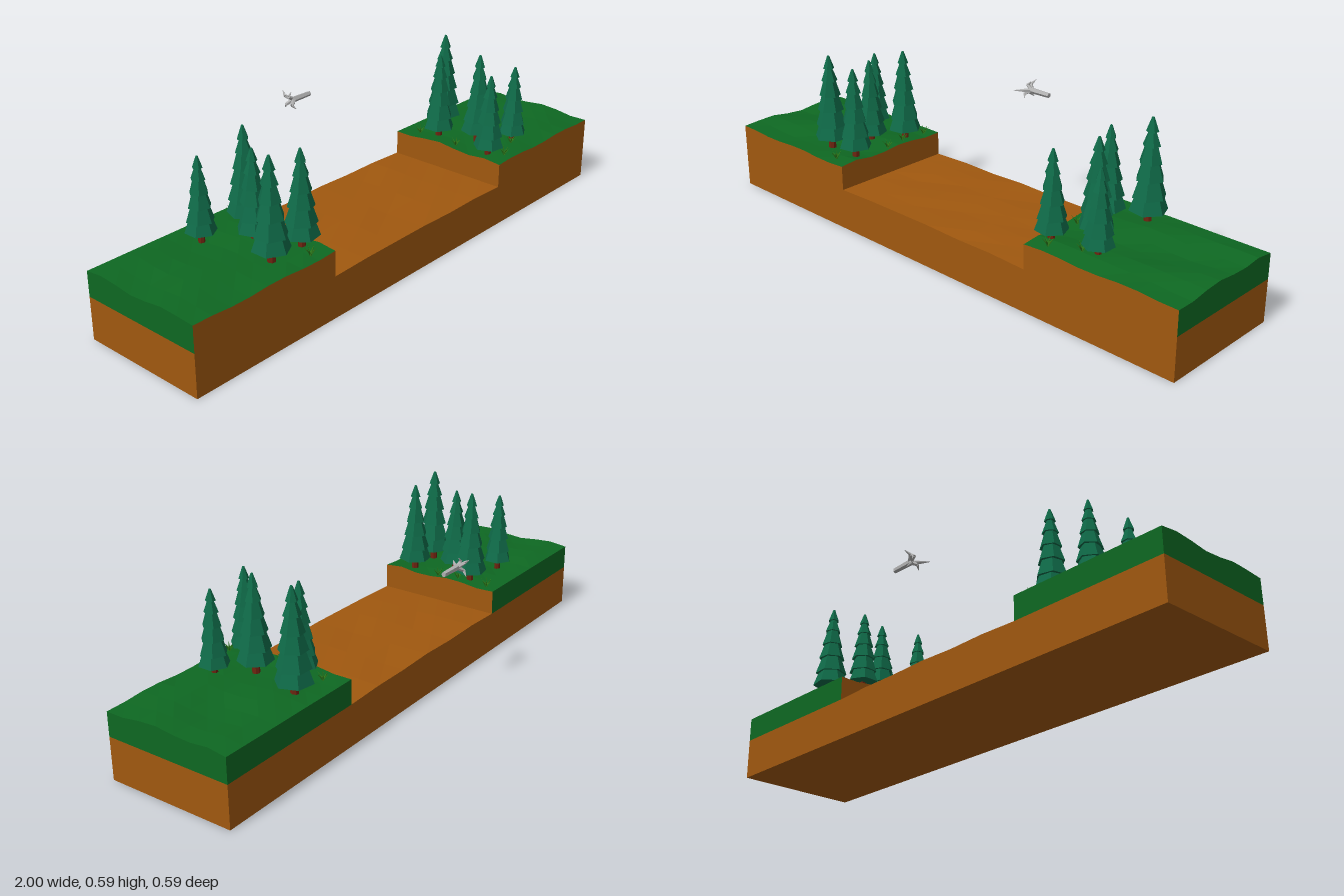
import * as THREE from 'three';
import { mergeGeometries } from 'three/addons/utils/BufferGeometryUtils.js';

const makeMat = (name, color, side = THREE.FrontSide) => {
  const m = new THREE.MeshStandardMaterial({ color, side });
  m.name = name;
  return m;
};

// Faceted normals, keeping material groups
function facet(geo) {
  const g = geo.index ? geo.toNonIndexed() : geo;
  g.computeVertexNormals();
  return g;
}

function addMesh(parent, name, geo, mat) {
  const mesh = new THREE.Mesh(geo, mat);
  mesh.name = name;
  parent.add(mesh);
  return mesh;
}

// Block whose upper face follows a height rule
function block(x0, x1, y0, z0, z1, nx, nz, height) {
  const g = new THREE.BoxGeometry(x1 - x0, 1, z1 - z0, nx, 1, nz);
  g.translate((x0 + x1) / 2, 0.5, (z0 + z1) / 2);
  const p = g.attributes.position;
  for (let i = 0; i < p.count; i++) {
    p.setY(i, p.getY(i) > 0.5 ? height(p.getX(i), p.getZ(i)) : y0);
  }
  return facet(g);
}

const BACK = -0.17, FRONT = 0.295, BED = 0.148, EDGE = 0.4286;
const bedHeight = (x, z) => Math.abs(x) < EDGE - 0.01
  ? 0.153 + 0.003 * Math.sin(x * 17 + z * 9) * Math.cos(z * 21 - x * 5) : BED;
const grassHeight = (x, z) => {
  const inner = Math.min(1, (FRONT - z) / 0.06, (z - BACK) / 0.06);
  return 0.235 + 0.004 * Math.sin(x * 21) * Math.cos(z * 9)
    + inner * (0.004 + 0.006 * Math.sin(z * 24 + x * 7 - 1.9));
};

// Conifer of stacked skirts: [lower edge, upper end, lower radius, upper radius]
const TIERS = [
  [0.00, 0.25, 0.063, 0.036], [0.15, 0.41, 0.056, 0.030], [0.34, 0.58, 0.047, 0.024],
  [0.52, 0.74, 0.038, 0.018], [0.70, 0.87, 0.029, 0.010], [0.85, 1.00, 0.020, 0.004],
];

function makeTree(x, z, top, turn, mats) {
  const tree = new THREE.Group();
  tree.name = 'tree';
  const ground = 0.232, size = (top - ground) / 0.35;
  const base = ground + 0.045 * size, tall = top - base;
  const skirts = TIERS.map(([a, b, r, t], i) => {
    const g = new THREE.CylinderGeometry(t * size, r * size, (b - a) * tall, 6);
    g.rotateY(i * 0.12);
    g.translate(0, base + (a + b) / 2 * tall, 0);
    return g;
  });
  addMesh(tree, 'foliage', facet(mergeGeometries(skirts)), mats.needles);
  const trunk = new THREE.CylinderGeometry(0.011 * size, 0.014 * size, 0.08, 7);
  trunk.translate(0, ground + 0.035, 0);
  addMesh(tree, 'trunk', facet(trunk), mats.bark);
  tree.position.set(x, 0, z);
  tree.rotation.y = turn;
  return tree;
}

// Tuft of bent tapering blades
function makeTuft(x, z, mat) {
  const blades = [];
  for (let i = 0; i < 6; i++) {
    const s = new THREE.Shape();
    s.moveTo(-0.003, 0);
    s.lineTo(0.003, 0);
    s.lineTo(0.0025, 0.015);
    s.lineTo(0, 0.03);
    s.lineTo(-0.0025, 0.015);
    const g = new THREE.ShapeGeometry(s);
    const p = g.attributes.position;
    for (let k = 0; k < p.count; k++) p.setZ(k, 22 * p.getY(k) ** 2);
    g.rotateY(i * 1.05 + x * 9);
    blades.push(g);
  }
  const tuft = new THREE.Mesh(facet(mergeGeometries(blades)), mat);
  tuft.name = 'grassTuft';
  tuft.position.set(x, grassHeight(x, z) - 0.003, z);
  return tuft;
}

// Tapering bar between two points
function spike(from, to, r0, r1) {
  const a = new THREE.Vector3(...from), d = new THREE.Vector3(...to).sub(a);
  const g = new THREE.CylinderGeometry(r1, r0, d.length(), 5);
  g.translate(0, d.length() / 2, 0);
  g.applyQuaternion(new THREE.Quaternion().setFromUnitVectors(
    new THREE.Vector3(0, 1, 0), d.clone().normalize()));
  return g.translate(...from);
}

export function createModel() {
  const model = new THREE.Group();
  model.name = 'forestTerrain';
  const soil = makeMat('soil', 0xa0580f);
  const grass = makeMat('grass', 0x0e6822);
  const mats = { needles: makeMat('needles', 0x0f6a48), bark: makeMat('bark', 0x6e2410) };
  const blade = makeMat('blade', 0x2e7d1c, THREE.DoubleSide);
  const metal = makeMat('metal', 0xb0b0b0);

  // Soil bed and the two raised banks
  addMesh(model, 'soilBed', block(-1, 1, 0, BACK, FRONT, 14, 6, bedHeight), soil);
  for (const s of [-1, 1]) {
    const g = s < 0 ? block(-1, -EDGE, BED, BACK, FRONT, 8, 7, grassHeight)
      : block(EDGE, 1, BED, BACK, FRONT, 8, 7, grassHeight);
    // Front and inner cliff are soil, the rest is grass
    const sides = [s < 0 ? soil : grass, s < 0 ? grass : soil, grass, grass, soil, grass];
    addMesh(model, s < 0 ? 'rightBank' : 'leftBank', g, sides);
  }

  // Trees: x, z, top
  [
    [-0.65, -0.06, 0.52], [-0.475, -0.045, 0.57], [-0.54, 0.06, 0.545],
    [-0.60, 0.195, 0.58], [-0.47, 0.195, 0.56], [0.605, -0.09, 0.587],
    [0.495, -0.027, 0.55], [0.555, 0.105, 0.565], [0.47, 0.215, 0.535], [0.64, 0.2, 0.52],
  ].forEach(([x, z, top], i) => model.add(makeTree(x, z, top, i * 0.7, mats)));

  // Grass tufts
  [[0.46, 0.08], [0.5, 0.265], [0.6, 0.225], [0.48, -0.1], [-0.44, 0.07],
    [-0.46, -0.125], [-0.45, -0.01], [-0.5, 0.26]]
    .forEach(([x, z]) => model.add(makeTuft(x, z, blade)));

  // Floating claw: a shaft with five bent prongs
  const claw = new THREE.Group();
  claw.name = 'floatingClaw';
  const Y = 0.475, Z = -0.255;
  const parts = [spike([0.043, Y, Z], [-0.045, Y, Z], 0.009, 0.011)];
  [[-0.05, 0.503, -0.292], [-0.05, 0.444, -0.283], [-0.085, 0.474, -0.212],
    [-0.05, 0.45, -0.23], [-0.045, 0.504, -0.257]].forEach(([x, y, z]) => {
    const mid = [-0.058, Y + (y - Y) * 0.5, Z + (z - Z) * 0.5];
    parts.push(spike([-0.036, Y, Z], mid, 0.008, 0.006), spike(mid, [x, y, z], 0.006, 0.001));
  });
  addMesh(claw, 'shaftAndProngs', facet(mergeGeometries(parts)), metal);
  model.add(claw);
  return model;
}
